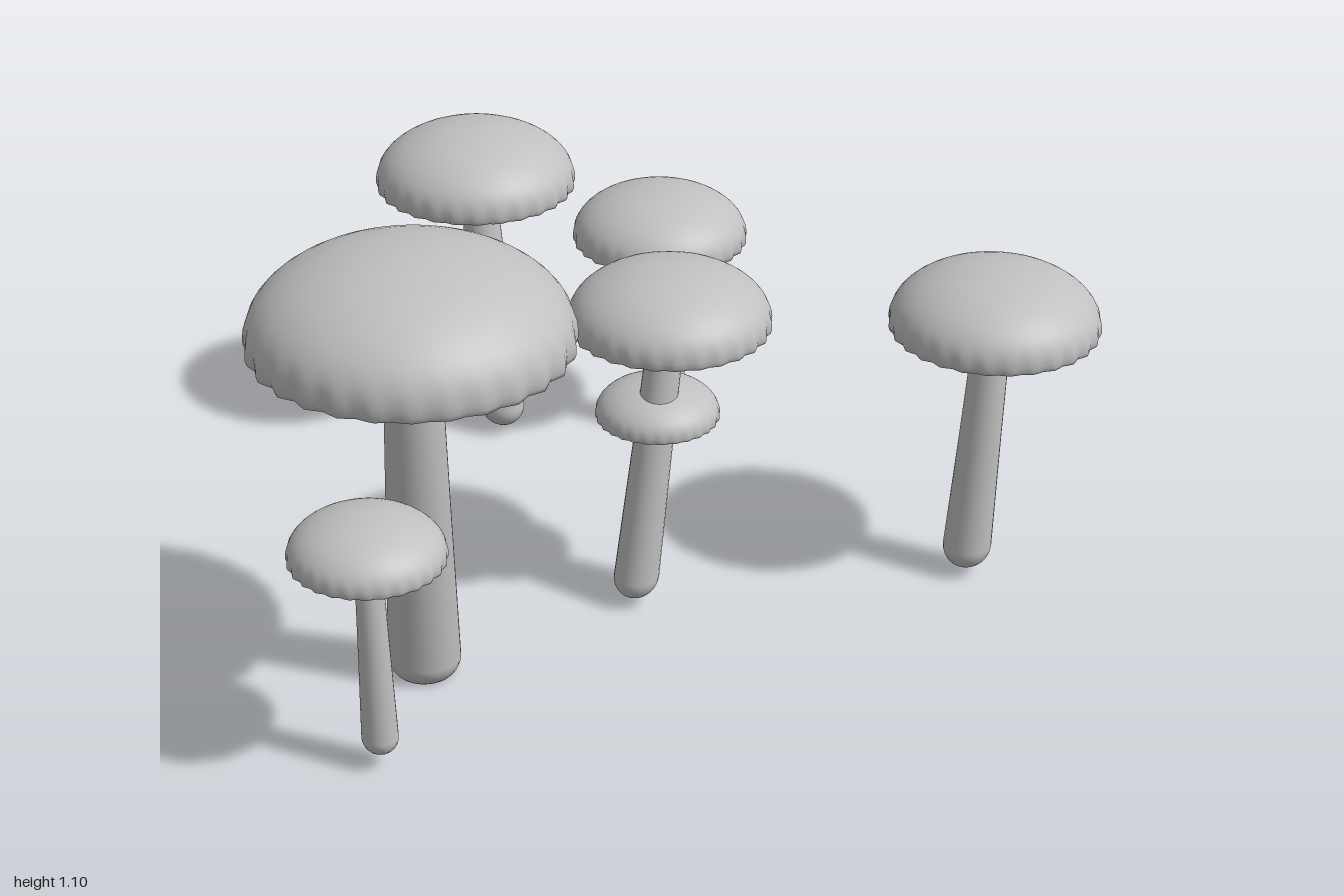
import * as THREE from 'three';
import { mergeVertices } from 'three/addons/utils/BufferGeometryUtils.js';

const TEETH = 28;

// Weld a lathe and give it continuous smooth normals.
function smooth(geometry) {
  geometry.deleteAttribute('uv');
  geometry.deleteAttribute('normal');
  const welded = mergeVertices(geometry, 1e-5);
  welded.computeVertexNormals();
  return welded;
}

// Unit cap: radius 1, rim at y = 0, hollow gill side, scalloped rim.
function makeCapGeometry() {
  const profile = [[0, 0.11], [0.15, 0.1], [0.4, 0.075], [0.7, 0.035], [0.9, 0.005],
    [0.96, 0], [0.985, 0.006], [0.998, 0.04]].map(([r, y]) => new THREE.Vector2(r, y));
  const base = 0.09, height = 0.63;
  for (let i = 0; i <= 14; i++) {
    const a = (i / 14) * Math.PI / 2;
    profile.push(new THREE.Vector2(i === 14 ? 0 : Math.cos(a), base + (height - base) * Math.sin(a)));
  }
  const geometry = new THREE.LatheGeometry(profile, TEETH * 4);
  const p = geometry.attributes.position;
  for (let i = 0; i < p.count; i++) {
    const x = p.getX(i), y = p.getY(i), z = p.getZ(i);
    const angle = Math.atan2(x, z), r = Math.hypot(x, z);
    // The folds fade out above the rim and towards the stem.
    const fade = Math.max(0, 1 - y / 0.26) * THREE.MathUtils.smoothstep(r, 0.8, 0.97);
    const wave = Math.cos(TEETH * angle) * (0.75 + 0.25 * Math.sin(3 * angle + 1));
    const s = 1 + fade * (0.022 * wave - 0.008);
    p.setXYZ(i, x * s, y, z * s);
  }
  return smooth(geometry);
}

// Tapered stem with a rounded foot, leaning from bottom to top.
function makeStemGeometry(bottom, top, r0, r1, cut) {
  const [bx, by, bz] = bottom, [tx, ty, tz] = top;
  const profile = [new THREE.Vector2(0, by)];
  // A cut foot ends in a flat disc instead of a full dome.
  const start = cut ? 0.28 * Math.PI : 0;
  const foot = r0 * (cut ? 0.85 : 1);
  for (let i = cut ? 0 : 1; i <= 7; i++) {
    const a = THREE.MathUtils.lerp(start, Math.PI / 2, i / 7);
    profile.push(new THREE.Vector2(r0 * Math.sin(a), by + foot * (Math.cos(start) - Math.cos(a))));
  }
  profile.push(new THREE.Vector2((r0 + r1) / 2, (by + ty) / 2));
  profile.push(new THREE.Vector2(r1, ty), new THREE.Vector2(0, ty));
  const geometry = new THREE.LatheGeometry(profile, 24);
  const p = geometry.attributes.position;
  for (let i = 0; i < p.count; i++) {
    const t = (p.getY(i) - by) / (ty - by);
    p.setX(i, p.getX(i) + THREE.MathUtils.lerp(bx, tx, t));
    p.setZ(i, p.getZ(i) + THREE.MathUtils.lerp(bz, tz, t));
  }
  return smooth(geometry);
}

export function createModel() {
  const group = new THREE.Group();
  group.name = 'mushroomCluster';
  const grey = new THREE.MeshStandardMaterial({ color: 0xc0c0c0 });
  grey.name = 'grey';
  const capGeometry = makeCapGeometry();

  // cap: centre x, rim y, centre z, radius; foot: x, y, z; stem radii at foot and top
  const mushrooms = [
    { name: 'tallMushroom', cap: [-0.575, 0.88, -0.017, 0.348], foot: [-0.463, 0, -0.09], radii: [0.082, 0.059], cut: true },
    { name: 'leftSmallMushroom', cap: [-0.832, 0.515, 0.06, 0.168], foot: [-0.818, 0.035, 0.07], radii: [0.04, 0.028] },
    { name: 'middleMushroom', cap: [0.137, 0.685, 0.15, 0.228], foot: [0.043, 0.02, 0.125], radii: [0.052, 0.04] },
    { name: 'middleSmallMushroom', cap: [0.14, 0.445, 0.118, 0.141], foot: [0.113, 0.04, 0.07], radii: [0.036, 0.026] },
    { name: 'frontMushroom', cap: [0.645, 0.63, 0.692, 0.239], foot: [0.613, 0.018, 0.67], radii: [0.056, 0.041] },
    { name: 'backMushroom', cap: [0.527, 0.66, -0.692, 0.241], foot: [0.54, 0.016, -0.623], radii: [0.056, 0.043] },
    { name: 'rightMushroom', cap: [0.783, 0.517, -0.322, 0.212], foot: [0.78, 0.02, -0.289], radii: [0.05, 0.038] },
  ];

  for (const { name, cap: [x, y, z, r], foot, radii, cut } of mushrooms) {
    const mushroom = new THREE.Group();
    mushroom.name = name;
    const cap = new THREE.Mesh(capGeometry, grey);
    cap.name = 'cap';
    cap.position.set(x, y, z);
    cap.scale.setScalar(r);
    const stem = new THREE.Mesh(makeStemGeometry(foot, [x, y + 0.2 * r, z], ...radii, cut), grey);
    stem.name = 'stem';
    mushroom.add(cap, stem);
    group.add(mushroom);
  }
  return group;
}
